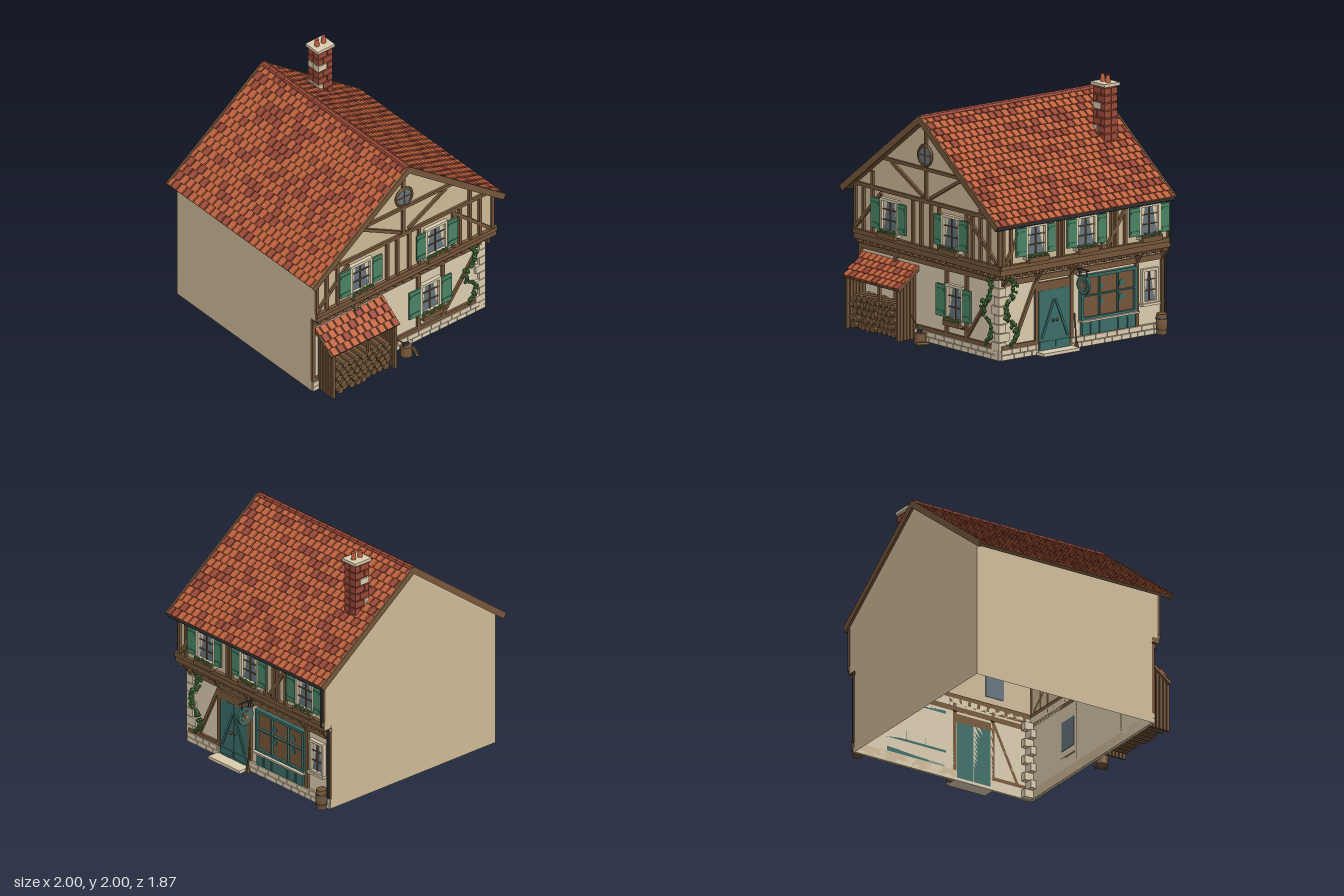
import * as THREE from 'three';
import { mergeGeometries } from 'three/addons/utils/BufferGeometryUtils.js';

const mat = (name, color, side = THREE.FrontSide) => {
  const m = new THREE.MeshStandardMaterial({ color, side, flatShading: true });
  m.name = name;
  return m;
};
const M = {
  plaster: mat('plaster', 0xd0bb98, THREE.DoubleSide),
  cream: mat('creamStone', 0xdccdb0, THREE.DoubleSide),
  timber: mat('timber', 0x76573a),
  tile: mat('tileRed', 0xc0623f),
  brick: mat('darkRed', 0x9c4a38),
  teal: mat('teal', 0x3c6e68),
  shutter: mat('shutterGreen', 0x4b8566),
  glass: mat('glass', 0x66757f),
  leaf: mat('leafGreen', 0x467a3c),
  iron: mat('iron', 0x3a4043),
};
let seed = 7;
const rnd = () => (seed = (seed * 16807) % 2147483647) / 2147483647;

// ---- helpers ----
function add(g, name, geo, m, x = 0, y = 0, z = 0) {
  const mesh = new THREE.Mesh(geo, m);
  mesh.name = name;
  mesh.position.set(x, y, z);
  g.add(mesh);
  return mesh;
}
function group(parent, name, x = 0, y = 0, z = 0, ry = 0) {
  const g = new THREE.Group();
  g.name = name;
  g.position.set(x, y, z);
  g.rotation.y = ry;
  parent.add(g);
  return g;
}
const boxGeo = (x0, x1, y0, y1, z0, z1) =>
  new THREE.BoxGeometry(x1 - x0, y1 - y0, z1 - z0).translate((x0 + x1) / 2, (y0 + y1) / 2, (z0 + z1) / 2);
const box = (g, name, m, ...b) => add(g, name, boxGeo(...b), m);
const cyl = (g, name, m, r0, r1, h, x, y, z, n = 12) => add(g, name, new THREE.CylinderGeometry(r0, r1, h, n), m, x, y, z);
const wall = (g, name, m, pts) =>
  add(g, name, new THREE.ShapeGeometry(new THREE.Shape(pts.map(p => new THREE.Vector2(...p)))), m);
const merged = (g, name, m, geos) => geos.length && add(g, name, mergeGeometries(geos), m);
// Flat beam lying on a facade between two points
function beam(g, x0, y0, x1, y1, w = 0.026, d = 0.02, m = M.timber, z = 0) {
  const mesh = add(g, 'beam', new THREE.BoxGeometry(Math.hypot(x1 - x0, y1 - y0), w, d), m, (x0 + x1) / 2, (y0 + y1) / 2, z + d / 2);
  mesh.rotation.z = Math.atan2(y1 - y0, x1 - x0);
}
const studs = (g, xs, y0, y1, w) => xs.forEach(x => beam(g, x, y0, x, y1, w));
function blobs(g, name, m, pts) {
  merged(g, name, m, pts.map(([x, y, z, r]) => new THREE.IcosahedronGeometry(r, 0).rotateY(x * 40).translate(x, y, z)));
}

// Tiled slope: local x runs down the slope, z across it
function tiledSlope(parent, name, len, width, rows, cols) {
  const g = group(parent, name);
  box(g, 'roofBoard', M.timber, 0, len, -0.032, -0.008, -width / 2, width / 2);
  const sets = [[], []], p = width / cols, s = len / rows;
  for (let i = 0; i < rows; i++) for (let j = 0; j <= cols; j++) {
    const off = i % 2 ? 0 : -p / 2;
    const z0 = Math.max(-width / 2, -width / 2 + j * p + off), z1 = Math.min(width / 2, -width / 2 + j * p + off + p * 0.8);
    if (z1 - z0 < 0.01) continue;
    const t = new THREE.BoxGeometry(s * 1.06, 0.013, z1 - z0).rotateZ(0.1);
    sets[rnd() < 0.3 ? 1 : 0].push(t.translate((i + 0.5) * s, 0, (z0 + z1) / 2));
  }
  merged(g, 'tiles', M.tile, sets[0]);
  merged(g, 'darkTiles', M.brick, sets[1]);
  return g;
}

// Window centred on (x, y), with optional shutters [left, right] and flower box
function makeWindow(parent, x, y, w, h, shutters, flowers = true) {
  const g = group(parent, 'window', x, y, 0);
  const a = w / 2, b = h / 2, f = 0.022;
  box(g, 'pane', M.glass, -a + f, a - f, -b + f, b - f, -0.005, 0.008);
  [-1, 1].forEach(s => {
    box(g, 'frameSide', M.cream, s * (a - f / 2) - f / 2, s * (a - f / 2) + f / 2, -b, b, 0, 0.03);
    box(g, 'frameRail', M.cream, -a, a, s * (b - f / 2) - f / 2, s * (b - f / 2) + f / 2, 0, 0.032);
    const e = s * (a - f);
    const curtain = wall(g, 'curtain', M.cream, [[e, b - f], [e - s * 0.045, b - f], [e - s * 0.018, -b * 0.3], [e, -b + f]]);
    curtain.position.z = 0.01;
  });
  beam(g, 0, -b + f, 0, b - f, 0.008, 0.008, M.timber, 0.01);
  [-0.25, 0.35].forEach(t => beam(g, -a + f, t * b, a - f, t * b, 0.008, 0.008, M.timber, 0.01));
  (shutters || []).forEach((sw, i) => {
    if (!sw) return;
    const s = i ? 1 : -1, c = s * (a + sw / 2);
    box(g, 'shutter', M.shutter, c - sw / 2, c + sw / 2, -b + 0.02, b - 0.015, 0.02, 0.034);
    [-0.6, 0.6].forEach(t => box(g, 'shutterBatten', M.shutter, c - sw / 2 + 0.008, c + sw / 2 - 0.008, t * b - 0.01, t * b + 0.01, 0.034, 0.04));
  });
  box(g, 'sill', M.cream, -a - 0.01, a + 0.01, -b - 0.012, -b + 0.008, 0, 0.045);
  if (!flowers) return;
  box(g, 'flowerBox', M.timber, -a + 0.005, a - 0.005, -b - 0.035, -b + 0.005, 0.02, 0.065);
  const plants = Array.from({ length: 11 }, (_, i) => [(i / 10 - 0.5) * (w - 0.03), -b + 0.012 + rnd() * 0.012, 0.043 + (rnd() - 0.5) * 0.02, 0.015]);
  blobs(g, 'flowerLeaves', M.leaf, plants);
  blobs(g, 'blossoms', M.brick, [-0.3, 0.05, 0.32].map(t => [t * w, -b + 0.027, 0.052, 0.009]));
}

// Two staggered courses of foundation stones
function foundation(g, x0, x1) {
  box(g, 'foundationBed', M.plaster, x0, x1, 0, 0.085, 0, 0.015);
  const stones = [];
  for (let row = 0; row < 2; row++) for (let x = x0; x < x1 - 0.02;) {
    const e = Math.min(x1, x + 0.07 + rnd() * 0.06);
    stones.push(boxGeo(x + 0.003, e - 0.003, row * 0.043 + 0.002, row * 0.043 + 0.04, 0, 0.028));
    x = e;
  }
  merged(g, 'foundationStones', M.cream, stones);
}
function vine(g, x0, x1) {
  const leaves = Array.from({ length: 34 }, (_, i) => {
    const t = i / 33, x = x0 + (x1 - x0) * (0.5 + 0.35 * Math.sin(t * 9) + (rnd() - 0.5) * 0.4);
    return [x, 0.11 + t * 0.53, 0.025, 0.013 + rnd() * 0.01];
  });
  blobs(g, 'vineLeaves', M.leaf, leaves);
}
// Jetty: sill, fascia and the joist ends below it; depth is the overhang
function jetty(g, x0, x1, depth) {
  box(g, 'jettyFascia', M.timber, x0, x1, 0.69, 0.735, -depth, 0.02);
  box(g, 'upperSill', M.timber, x0, x1, 0.735, 0.77, 0, 0.03);
  const ends = [];
  for (let x = x0 + 0.04; x < x1; x += 0.085) ends.push(boxGeo(x - 0.014, x + 0.014, 0.66, 0.69, -depth, 0.01));
  merged(g, 'joistEnds', M.timber, ends);
  box(g, 'jettyPlate', M.timber, x0, x1 - 0.03, 0.648, 0.67, -depth, -depth + 0.03);
}

export function createModel() {
  const root = new THREE.Group();
  root.name = 'timberFramedHouse';

  // Walls, open below
  const back = group(root, 'backWall', 0, 0, -0.91);
  wall(back, 'backGable', M.plaster, [[-0.91, 0], [0.81, 0], [0.81, 0.7], [0.88, 0.7], [0.88, 1.11], [-0.03, 1.785], [-0.91, 1.13]]);
  const left = group(root, 'leftWall', -0.91, 0, 0, -Math.PI / 2);
  wall(left, 'leftPlaster', M.plaster, [[-0.91, 0], [0.72, 0], [0.72, 0.7], [0.77, 0.7], [0.77, 1.13], [-0.91, 1.13]]);
  const fl = group(root, 'frontGroundFloor', 0, 0, 0.72), fu = group(root, 'frontUpperFloor', 0, 0, 0.77);
  const rl = group(root, 'leftSideGroundFloor', 0.81, 0, 0, Math.PI / 2), ru = group(root, 'leftSideUpperFloor', 0.88, 0, 0, Math.PI / 2);
  wall(fl, 'groundPlaster', M.cream, [[-0.91, 0], [0.81, 0], [0.81, 0.7], [-0.91, 0.7]]);
  wall(fu, 'gablePlaster', M.plaster, [[-0.91, 0.7], [0.88, 0.7], [0.88, 1.11], [-0.03, 1.785], [-0.91, 1.13]]);
  wall(rl, 'groundPlaster', M.cream, [[-0.72, 0], [0.91, 0], [0.91, 0.7], [-0.72, 0.7]]);
  wall(ru, 'upperPlaster', M.plaster, [[-0.77, 0.7], [0.91, 0.7], [0.91, 1.12], [-0.77, 1.12]]);

  // Front upper floor and gable
  jetty(fu, -0.91, 0.9, 0.05);
  beam(fu, -0.91, 1.13, 0.88, 1.13, 0.03);
  studs(fu, [-0.9, -0.8, -0.19, -0.09, 0.03, 0.13, 0.47, 0.54, 0.74, 0.868], 0.77, 1.12);
  studs(fu, [-0.69, 0.64], 0.77, 1.26);
  [[-0.89, 0.79, -0.58, 1.1], [0.84, 0.78, 0.46, 1.11], [-0.45, 1.37, -0.06, 1.16], [0.4, 1.37, 0.02, 1.16],
    [-0.545, 1.385, 0.49, 1.385], [-0.03, 1.14, -0.03, 1.42], [-0.03, 1.57, -0.03, 1.73]].forEach(b => beam(fu, ...b));
  makeWindow(fu, -0.465, 0.935, 0.22, 0.275, [0.11, 0.095]);
  makeWindow(fu, 0.29, 0.935, 0.22, 0.275, [0.09, 0.1]);
  add(fu, 'roundFrame', new THREE.TorusGeometry(0.079, 0.013, 6, 24), M.timber, -0.03, 1.495, 0.02);
  add(fu, 'roundPane', new THREE.CylinderGeometry(0.075, 0.075, 0.03, 24).rotateX(Math.PI / 2), M.glass, -0.03, 1.495, 0.01);
  beam(fu, -0.105, 1.495, 0.045, 1.495, 0.01, 0.01, M.timber, 0.022);
  beam(fu, -0.03, 1.42, -0.03, 1.57, 0.01, 0.01, M.timber, 0.022);

  // Front ground floor
  foundation(fl, -0.91, 0.82);
  [[-0.91, 0.628, 0.81, 0.628, 0.04], [-0.91, 0.1, 0.75, 0.1, 0.032], [0.41, 0.12, 0.74, 0.56]].forEach(([a, b, c, d, w]) => beam(fl, a, b, c, d, w));
  studs(fl, [-0.895, -0.465, 0.165, 0.41], 0.1, 0.68, 0.032);
  makeWindow(fl, 0.275, 0.365, 0.21, 0.29, [0.115, 0.1]);
  box(fl, 'underWindowPanel', M.timber, 0.18, 0.38, 0.17, 0.19, 0, 0.02);
  vine(fl, 0.6, 0.75);

  // Side upper floor
  jetty(ru, -0.79, 0.91, 0.07);
  beam(ru, -0.77, 1.09, 0.91, 1.09, 0.03);
  studs(ru, [-0.755, -0.68, -0.2, -0.16, 0.235, 0.33, 0.375, 0.465, 0.9], 0.77, 1.08);
  [[-0.735, 0.78, -0.56, 1.06], [0.28, 0.78, 0.465, 1.06]].forEach(b => beam(ru, ...b));
  [[-0.435, 0.1, 0.075], [0.065, 0.09, 0.09], [0.7, 0.1, 0.085]].forEach(([x, a, b]) => makeWindow(ru, x, 0.935, 0.21, 0.26, [a, b]));

  // Side ground floor
  foundation(rl, -0.73, -0.36);
  foundation(rl, -0.03, 0.91);
  beam(rl, -0.72, 0.61, 0.91, 0.61, 0.045);
  beam(rl, -0.72, 0.1, -0.37, 0.1, 0.03);
  beam(rl, -0.6, 0.11, -0.38, 0.57);
  studs(rl, [-0.37, -0.02, 0.635, 0.895], 0.08, 0.66, 0.032);
  makeWindow(rl, 0.76, 0.39, 0.16, 0.28, null, false);
  vine(rl, -0.7, -0.57);

  // Double door with step
  const door = group(rl, 'door');
  box(door, 'doorStep', M.cream, -0.38, -0.02, 0, 0.025, 0, 0.12);
  box(door, 'lintel', M.timber, -0.355, -0.035, 0.5, 0.57, 0, 0.018);
  [-1, 1].forEach(s => {
    const c = -0.195 + s * 0.079;
    box(door, 'doorLeaf', M.teal, c - 0.077, c + 0.077, 0.025, 0.5, 0, 0.02);
    beam(door, -0.195 + s * 0.008, 0.42, -0.195 + s * 0.13, 0.12, 0.018, 0.01, M.teal, 0.02);
    beam(door, c - 0.07, 0.07, c + 0.07, 0.07, 0.05, 0.008, M.teal, 0.02);
    add(door, 'knob', new THREE.SphereGeometry(0.012, 8, 6), M.timber, -0.195 + s * 0.02, 0.255, 0.03);
  });

  // Shop window
  const shop = group(rl, 'shopWindow');
  box(shop, 'shopBacking', M.timber, 0.075, 0.61, 0.21, 0.56, 0, 0.014);
  [[0.065, 0.555, 0.62, 0.555, 0.024], [0.065, 0.22, 0.62, 0.22, 0.02], [0.075, 0.2, 0.075, 0.565, 0.024],
    [0.61, 0.2, 0.61, 0.565, 0.024], [0.075, 0.4, 0.61, 0.4, 0.01], [0.25, 0.21, 0.25, 0.56, 0.01],
    [0.435, 0.21, 0.435, 0.56, 0.01]].forEach(([a, b, c, d, w]) => beam(shop, a, b, c, d, w, 0.035, M.teal));
  [0.27, 0.48].forEach(x => [0.345, 0.455].forEach(y =>
    add(shop, 'paneRoundel', new THREE.CylinderGeometry(0.027, 0.027, 0.008, 8).rotateX(Math.PI / 2), M.teal, x, y, 0.016)));
  box(shop, 'shopSill', M.cream, 0.055, 0.63, 0.198, 0.212, 0, 0.06);
  box(shop, 'shopApron', M.teal, 0.075, 0.61, 0.09, 0.198, 0, 0.03);
  [0.16, 0.25, 0.435, 0.53].forEach(x => beam(shop, x, 0.095, x, 0.195, 0.012, 0.008, M.teal, 0.03));

  // Corner quoins and jetty brackets
  const quoins = [];
  for (let i = 0; i < 9; i++) {
    const a = i % 2 ? 0.09 : 0.055, b = i % 2 ? 0.055 : 0.09;
    quoins.push(boxGeo(0.82 - a, 0.826, i * 0.072 + 0.003, i * 0.072 + 0.069, 0.73 - b, 0.746));
  }
  merged(root, 'quoins', M.cream, quoins);
  [-0.7, -0.37, -0.02, 0.635, 0.89].forEach(u => {
    const b = add(root, 'bracket', new THREE.BoxGeometry(0.024, 0.12, 0.026), M.timber, 0.845, 0.63, -u);
    b.rotation.z = -0.6;
  });

  // Main roof
  const pitch = Math.atan(0.742), run = 1.2;
  [0, Math.PI].forEach(ry => {
    const s = tiledSlope(root, 'roofSlope', run, 1.77, 17, 26);
    s.position.set(-0.03, 1.808, -0.04);
    s.rotation.set(0, ry, -pitch);
    [-1, 1].forEach(k => box(s, 'bargeBoard', M.timber, 0, run + 0.005, -0.04, 0.012, k * 0.888 - 0.008, k * 0.888 + 0.008));
  });
  const ridge = [];
  for (let i = 0; i < 20; i++) ridge.push(new THREE.CylinderGeometry(0.024, 0.027, 0.085, 8).rotateX(Math.PI / 2).translate(-0.03, 1.8, -0.88 + i * 0.0884));
  merged(root, 'ridgeTiles', M.brick, ridge);
  add(root, 'gutter', new THREE.CylinderGeometry(0.014, 0.014, 1.77, 8).rotateX(Math.PI / 2), M.iron, 0.925, 1.075, -0.04);
  cyl(root, 'drainPipe', M.iron, 0.01, 0.01, 0.34, 0.91, 0.9, -0.9, 8);
  cyl(root, 'drainPipe', M.iron, 0.01, 0.01, 0.6, 0.845, 0.4, -0.9, 8);

  // Chimney with staggered bricks
  const ch = group(root, 'chimney', 0.355, 0, -0.7);
  box(ch, 'chimneyCore', M.brick, -0.062, 0.062, 1.4, 1.915, -0.052, 0.052);
  const bricks = [], pale = [];
  for (let i = 0; i < 8; i++) {
    const y = 1.425 + i * 0.061, split = i % 2 ? 0.022 : -0.022;
    [[-0.072, split - 0.004], [split + 0.004, 0.072]].forEach(([a, b], j) => [-1, 1].forEach(s => {
      const set = (i === 2 && j === 0) || (i === 5 && j === 0) ? pale : bricks;
      set.push(boxGeo(a, b, y, y + 0.05, s > 0 ? 0.003 : -0.064, s > 0 ? 0.064 : -0.003));
    }));
  }
  merged(ch, 'bricks', M.brick, bricks);
  merged(ch, 'paleBricks', M.cream, pale);
  box(ch, 'chimneyCap', M.cream, -0.086, 0.086, 1.915, 1.94, -0.076, 0.076);
  [-0.033, 0.033].forEach(x => cyl(ch, 'chimneyPot', M.tile, 0.016, 0.02, 0.06, x, 1.97, 0));

  // Firewood shelter
  const shed = group(root, 'woodShelter', -0.53, 0, 0);
  const shedRoof = tiledSlope(shed, 'shelterRoof', 0.262, 0.68, 4, 10);
  shedRoof.position.set(0, 0.578, 0.722);
  shedRoof.rotation.set(0, -Math.PI / 2, -0.64);
  beam(shed, -0.33, 0.41, 0.33, 0.41, 0.025, 0.025, M.timber, 0.885);
  [-0.31, 0.31].forEach(x => {
    for (let i = 0; i < 6; i++) {
      const z = 0.735 + i * 0.032;
      box(shed, 'sidePlank', M.timber, x - 0.011, x + 0.011, 0, 0.53 - (z - 0.735) * 0.74, z, z + 0.025);
    }
  });
  box(shed, 'middlePost', M.timber, 0.05, 0.075, 0.26, 0.41, 0.88, 0.9);
  const logs = [];
  for (let r = 0; r < 5; r++) for (let i = 0; i < 10 - (r % 2 ? 0 : 1); i++)
    logs.push(new THREE.CylinderGeometry(0.028, 0.028, 0.15, 8).rotateX(Math.PI / 2).translate(-0.265 + i * 0.059 + (r % 2 ? 0 : 0.03), 0.04 + r * 0.054, 0.81 + rnd() * 0.03));
  merged(shed, 'logs', M.timber, logs);

  // Chopping block with axe, and a loose log
  cyl(root, 'choppingBlock', M.timber, 0.045, 0.05, 0.09, -0.04, 0.045, 0.83);
  const axe = group(root, 'axe', -0.05, 0.1, 0.83);
  cyl(axe, 'axeHandle', M.timber, 0.006, 0.006, 0.15, -0.05, 0.055, 0, 6).rotation.z = 0.76;
  box(axe, 'axeHead', M.iron, -0.02, 0.03, -0.015, 0.015, -0.008, 0.008);
  const loose = cyl(root, 'looseLog', M.timber, 0.016, 0.016, 0.1, 0.025, 0.016, 0.86, 8);
  loose.rotation.set(Math.PI / 2, 0, 0.35);

  // Barrel
  const barrel = group(root, 'barrel', 0.865, 0, -0.85);
  add(barrel, 'barrelStaves', new THREE.LatheGeometry([[0, 0], [0.04, 0], [0.048, 0.08], [0.042, 0.165], [0, 0.165]].map(p => new THREE.Vector2(...p)), 14), M.timber);
  [0.04, 0.125].forEach(y => cyl(barrel, 'barrelHoop', M.iron, 0.0475, 0.0475, 0.01, 0, y, 0, 14));

  // Hanging sign
  const sign = group(root, 'hangingSign', 0, 0, -0.03);
  box(sign, 'signArm', M.iron, 0.81, 0.98, 0.63, 0.64, -0.005, 0.005);
  add(sign, 'signScroll', new THREE.TorusGeometry(0.025, 0.004, 5, 14), M.iron, 0.838, 0.6, 0);
  [0.88, 0.95].forEach(x => box(sign, 'signChain', M.iron, x - 0.003, x + 0.003, 0.57, 0.635, -0.003, 0.003));
  [[0.076, 0.022, M.teal], [0.052, 0.028, M.timber], [0.04, 0.032, M.teal], [0.018, 0.038, M.tile]].forEach(([r, d, m]) =>
    add(sign, 'signDisc', new THREE.CylinderGeometry(r, r, d, 20).rotateX(Math.PI / 2), m, 0.915, 0.515, 0));

  // Broom leaning by the door
  cyl(root, 'broomHandle', M.timber, 0.006, 0.006, 0.26, 0.85, 0.15, 0.0, 6).rotation.z = 0.1;
  cyl(root, 'broomHead', M.timber, 0.01, 0.022, 0.06, 0.862, 0.03, 0.0, 8);
  return root;
}
